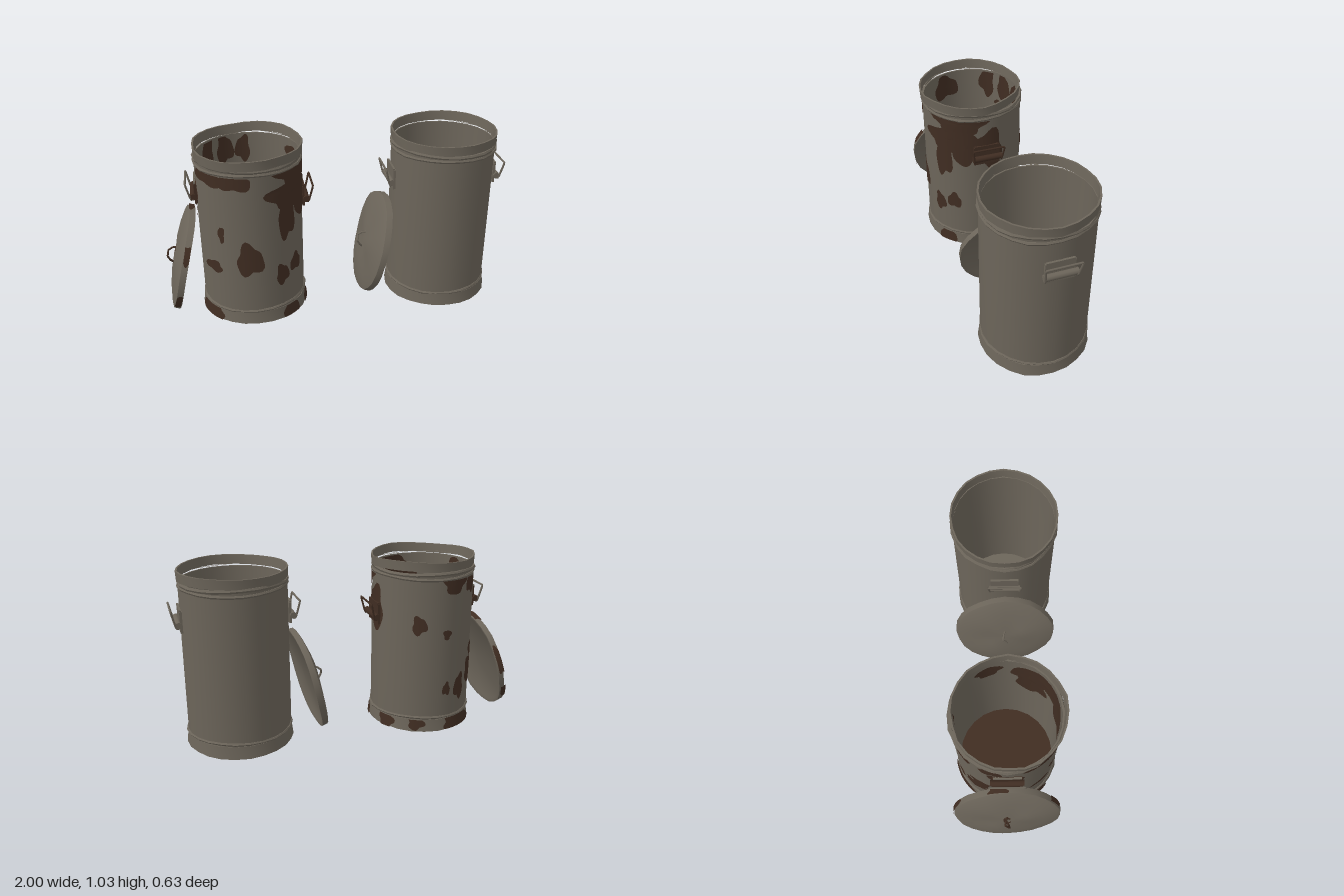
import * as THREE from 'three';
import { toCreasedNormals } from 'three/addons/utils/BufferGeometryUtils.js';

const metal = new THREE.MeshStandardMaterial({ color: 0x6c655a });
metal.name = 'weathered grey metal';
const rust = new THREE.MeshStandardMaterial({ color: 0x402d22 });
rust.name = 'brown rust';

const R = 0.3, SEGMENTS = 24;

function add(parent, name, geometry, material) {
  const mesh = new THREE.Mesh(geometry, material);
  mesh.name = name;
  parent.add(mesh);
  return mesh;
}

// Revolved profile, optionally dented by a periodic rule
function turned(profile, dent = 0, phase = 0) {
  const geo = new THREE.LatheGeometry(profile.map(p => new THREE.Vector2(...p)), SEGMENTS);
  const pos = geo.attributes.position;
  for (let i = 0; i < pos.count; i++) {
    const x = pos.getX(i), y = pos.getY(i), z = pos.getZ(i);
    const a = Math.atan2(x, z);
    const k = 1 + dent * (Math.sin(5 * a + phase) + Math.sin(9 * a - phase)) / 2;
    pos.setXYZ(i, x * k, y + dent * 0.35 * Math.sin(3 * a + phase), z * k);
  }
  return toCreasedNormals(geo, 0.6);
}

// Irregular rust spot wrapped on a round wall; angles in degrees from +z towards +x
function spotGeometry(deg, y, halfDeg, halfH, radiusAt, yMin, yMax, inward) {
  const N = 28, RINGS = 4, pos = [], index = [];
  const seed = deg * 0.37 + y * 11;
  for (let r = 0; r <= RINGS; r++) {
    for (let i = 0; i < N; i++) {
      const t = i / N * Math.PI * 2;
      const k = r / RINGS * (1 + 0.16 * Math.sin(3 * t + seed) + 0.09 * Math.sin(5 * t + 2 * seed));
      const a = THREE.MathUtils.degToRad(deg + halfDeg * k * Math.cos(t));
      const py = THREE.MathUtils.clamp(y + halfH * k * Math.sin(t), yMin, yMax);
      const rad = radiusAt(py);
      pos.push(Math.sin(a) * rad, py, Math.cos(a) * rad);
      if (r === RINGS) continue;
      const j = (i + 1) % N, p = r * N;
      const quad = [p + i, p + N + i, p + N + j, p + i, p + N + j, p + j];
      index.push(...(inward ? quad.reverse() : quad));
    }
  }
  const geo = new THREE.BufferGeometry();
  geo.setAttribute('position', new THREE.Float32BufferAttribute(pos, 3));
  geo.setIndex(index);
  geo.computeVertexNormals();
  return geo;
}

function spots(parent, name, list, radiusAt, yMin, yMax, inward = false) {
  const group = new THREE.Group();
  group.name = name;
  for (const s of list) add(group, 'rustSpot', spotGeometry(...s, radiusAt, yMin, yMax, inward), rust);
  parent.add(group);
}

// Bent wire made of straight runs
function wire(points, radius) {
  const path = new THREE.CurvePath();
  const p = points.map(q => new THREE.Vector3(...q));
  for (let i = 1; i < p.length; i++) path.add(new THREE.LineCurve3(p[i - 1], p[i]));
  return new THREE.TubeGeometry(path, 32, radius, 6, false);
}

// Carrying handle on the +x wall; turned half round for the other side
function sideHandle(parent, name, side, drop, plateMaterial, wireMaterial) {
  const group = new THREE.Group();
  group.name = name;
  const plate = add(group, 'mountingPlate', new THREE.BoxGeometry(0.014, 0.12, 0.16), plateMaterial);
  plate.position.set(R + 0.001, 0.75, 0);
  const roll = add(group, 'rolledHinge', new THREE.CylinderGeometry(0.019, 0.019, 0.18, 10), plateMaterial);
  roll.rotation.x = Math.PI / 2;
  roll.position.set(R + 0.016, 0.735, 0);
  add(group, 'wireLoop', wire([
    [R + 0.016, 0.72, 0.085], [R + 0.03, 0.72, 0.085], [R + 0.054, 0.818, 0.097],
    [R + 0.054, 0.818, -0.097], [R + 0.03, 0.72, -0.085], [R + 0.016, 0.72, -0.085]
  ], 0.006), wireMaterial);
  const top = add(group, 'topStrap', new THREE.BoxGeometry(0.012, 0.012, 0.15), wireMaterial);
  top.position.set(R + 0.004, 0.812, 0);
  group.position.y = -drop;
  if (side < 0) group.rotation.y = Math.PI;
  parent.add(group);
}

// Domed lid, its axis along local y, leaning on the -x side
function lid(parent, rusty) {
  const group = new THREE.Group();
  group.name = 'lid';
  add(group, 'lidShell', turned([
    [0, 0.012], [0.28, 0.008], [0.294, 0], [0.308, 0], [0.304, 0.035], [0.285, 0.042],
    [0.21, 0.058], [0.12, 0.068], [0, 0.073]
  ], 0.012, 1), metal);
  add(group, 'lidHandle', wire([
    [-0.05, 0.065, 0], [-0.035, 0.09, 0.008], [-0.012, 0.111, 0.012], [0.018, 0.111, -0.012],
    [0.042, 0.09, -0.008], [0.052, 0.065, 0]
  ], 0.006), rusty ? rust : metal);
  if (rusty) {
    spots(group, 'lidRimRust', [
      [100, 0.02, 10, 0.03], [165, 0.02, 16, 0.03], [205, 0.02, 9, 0.03],
      [270, 0.02, 13, 0.03], [330, 0.02, 12, 0.03], [30, 0.02, 10, 0.03]
    ], () => 0.312, 0.003, 0.035);
    const patch = add(group, 'handleRust', new THREE.CylinderGeometry(0.045, 0.05, 0.008, 9), rust);
    patch.scale.z = 0.5;
    patch.position.y = 0.0705;
  }
  group.position.set(-0.39, 0.313, 0);
  group.rotation.z = 1.327;
  parent.add(group);
}

function can(name, x, rusty) {
  const group = new THREE.Group();
  group.name = name;
  // Wall with hollow inside and floor
  add(group, 'body', turned([
    [0, 0.002], [0.296, 0.002], [R, 0.08], [R, 0.955], [0.291, 0.955], [0.287, 0.03]
  ]), metal);
  const floor = add(group, 'innerFloor', new THREE.CircleGeometry(0.289, SEGMENTS), rusty ? rust : metal);
  floor.rotation.x = -Math.PI / 2;
  floor.position.y = 0.031;
  // Flared foot and raised hoops
  add(group, 'footSkirt', turned([
    [0.29, 0], [0.312, 0], [0.303, 0.073], [0.29, 0.073]
  ], 0.01, 2), metal);
  const hoops = [['footHoop', 0.082, 0.008], ['lowerHoop', 0.93, 0.009], ['upperHoop', 0.956, 0.01]];
  hoops.forEach(([hoopName, y, h], i) => add(group, hoopName, turned([
    [0.293, y - h], [0.303, y - h], [0.308, y], [0.303, y + h], [0.293, y + h]
  ], 0.012, i * 2), metal));
  // Rim band, bent loose on the rusty can
  const rim = add(group, 'rim', turned([
    [0.289, 0.966], [0.303, 0.966], [0.306, 1.02], [0.296, 1.02], [0.289, 0.966]
  ], rusty ? 0.016 : 0.008, 0.5), metal);
  if (rusty) rim.rotation.x = 0.012;

  sideHandle(group, 'rightSideHandle', 1, rusty ? 0.062 : 0, rusty ? rust : metal, rusty ? rust : metal);
  sideHandle(group, 'leftSideHandle', -1, 0, rusty ? rust : metal, metal);
  lid(group, rusty);

  if (rusty) {
    spots(group, 'outerRust', [
      // front
      [-50, 0.9, 22, 0.05], [-18, 0.9, 17, 0.06], [-6, 0.42, 14, 0.1], [30, 0.295, 8, 0.065],
      [50, 0.335, 9, 0.055], [-50, 0.35, 13, 0.035], [-36, 0.57, 4, 0.05],
      // large streak
      [58, 0.9, 32, 0.07], [44, 0.78, 28, 0.08], [38, 0.66, 11, 0.15], [66, 0.74, 18, 0.12],
      [92, 0.72, 18, 0.13],
      // back and sides
      [155, 0.66, 8, 0.055], [187, 0.6, 5, 0.03], [189, 0.26, 5, 0.04], [208, 0.255, 8, 0.08],
      [232, 0.33, 13, 0.08], [242, 0.44, 14, 0.08], [195, 0.9, 15, 0.06], [222, 0.89, 9, 0.07],
      [268, 0.72, 17, 0.13], [252, 0.88, 12, 0.06]
    ], () => R + 0.004, 0.093, 0.92);
    spots(group, 'footRust', [
      [-58, 0.04, 20, 0.06], [40, 0.035, 12, 0.06], [75, 0.035, 9, 0.05],
      [119, 0.035, 10, 0.05], [155, 0.05, 9, 0.04], [207, 0.035, 22, 0.06]
    ], y => 0.317 - 0.12 * y, 0.002, 0.072);
    spots(group, 'innerRust', [
      [33, 0.85, 50, 0.12], [5, 0.72, 18, 0.14], [60, 0.7, 20, 0.12], [110, 0.86, 15, 0.07],
      [183, 0.86, 9, 0.08], [206, 0.87, 11, 0.09], [232, 0.88, 10, 0.1], [217, 0.74, 4, 0.03],
      [290, 0.86, 18, 0.08]
    ], () => 0.281, 0.04, 0.95, true);
  }
  group.position.x = x;
  return group;
}

export function createModel() {
  const model = new THREE.Group();
  model.name = 'trashCans';
  model.add(can('rustyCan', -0.495, true), can('cleanCan', 0.638, false));
  return model;
}
